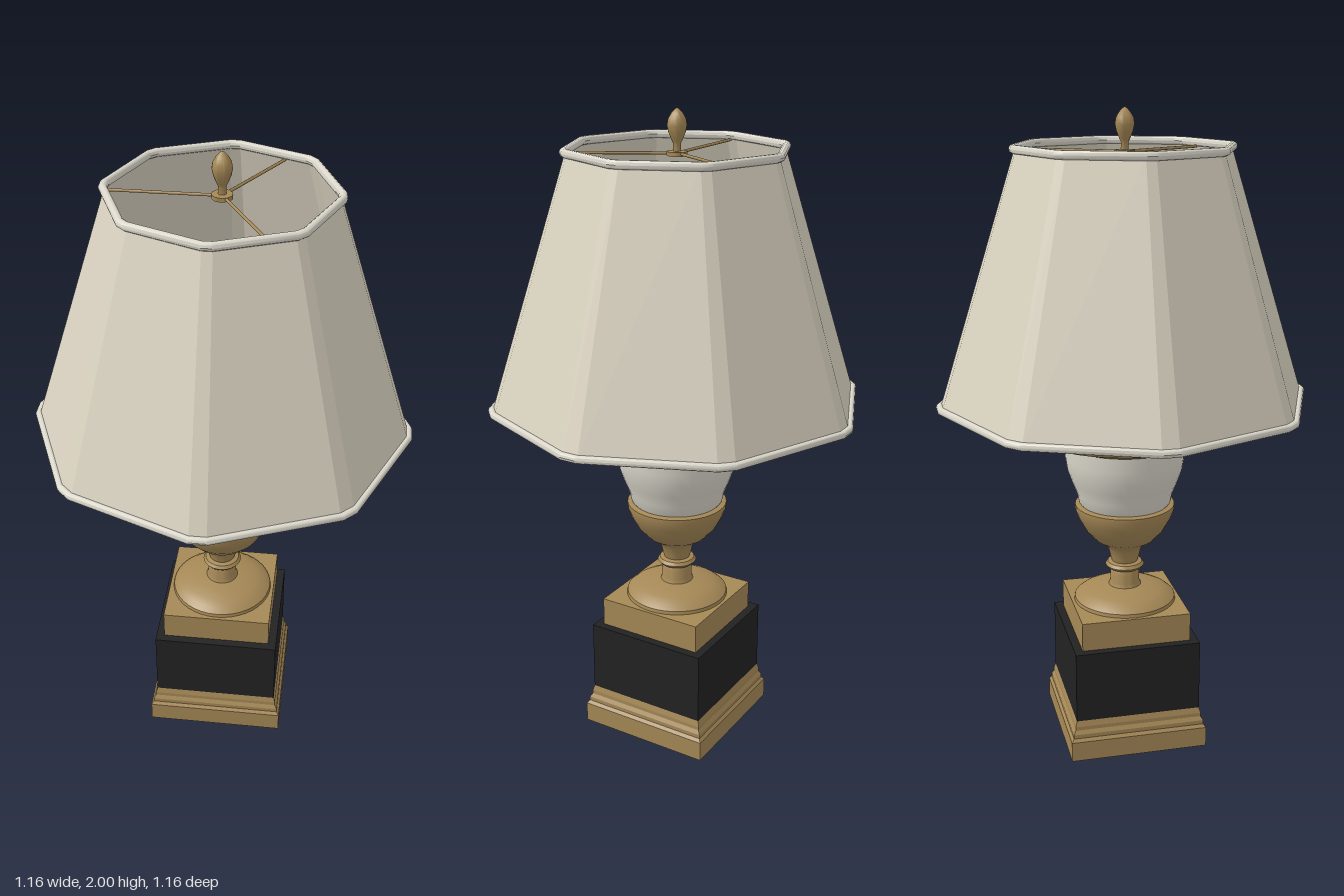
import * as THREE from 'three';
import { toCreasedNormals } from 'three/addons/utils/BufferGeometryUtils.js';

const mat = (name, color, side = THREE.FrontSide) => {
  const m = new THREE.MeshStandardMaterial({ color, side });
  m.name = name;
  return m;
};

export function createModel() {
  const gold = mat('antique gold', 0xa58856);
  const ivory = mat('ivory porcelain', 0xdcd8cc);
  const cream = mat('cream fabric', 0xdbd4c2, THREE.DoubleSide);
  const black = mat('black stone', 0x222222);

  const lamp = new THREE.Group();
  lamp.name = 'tableLamp';

  const add = (name, geometry, material, parent = lamp) => {
    const mesh = new THREE.Mesh(geometry, material);
    mesh.name = name;
    parent.add(mesh);
    return mesh;
  };

  // Turned part from [radius, height] pairs, bottom to top
  const turned = (name, pairs, material, segments = 40) => {
    const pts = pairs.map(([r, y]) => new THREE.Vector2(r, y));
    return add(name, toCreasedNormals(new THREE.LatheGeometry(pts, segments), 0.65), material);
  };

  // Square moulded part from [half width, height] pairs
  const square = (name, pairs, material) => {
    const pts = pairs.map(([w, y]) => new THREE.Vector2(w * Math.SQRT2, y));
    const geo = new THREE.LatheGeometry(pts, 4, Math.PI / 4);
    return add(name, toCreasedNormals(geo, 0.1), material);
  };

  // Gathers 16 evenly spaced columns into 8 corners with a narrow bevel each
  const toOctagon = (geo, bevel) => {
    const pos = geo.attributes.position;
    for (let i = 0; i < pos.count; i++) {
      const x = pos.getX(i), z = pos.getZ(i), r = Math.hypot(x, z);
      const k = Math.round(Math.atan2(z, x) / (Math.PI / 8));
      const corner = Math.floor(k / 2);
      const side = k - corner * 2 ? 1 : -1;
      const a = corner * Math.PI / 4 + side * bevel;
      pos.setXYZ(i, r * Math.cos(a), pos.getY(i), r * Math.sin(a));
    }
    return geo;
  };

  // Straight rod between two points
  const rod = (name, from, to, radius, parent) => {
    const path = new THREE.LineCurve3(from, to);
    add(name, new THREE.TubeGeometry(path, 1, radius, 8), gold, parent);
  };

  // Square pedestal
  square('plinth', [[0, 0], [0.22, 0], [0.22, 0.065], [0.212, 0.075], [0.212, 0.088],
    [0.205, 0.1], [0.205, 0.112], [0.2, 0.13], [0, 0.13]], gold);
  square('stoneBlock', [[0, 0.13], [0.2, 0.13], [0.2, 0.36], [0, 0.36]], black);
  square('upperBlock', [[0, 0.36], [0.174, 0.36], [0.174, 0.452], [0, 0.452]], gold);

  // Foot, stem and bowl of the urn
  turned('foot', [[0, 0.45], [0.164, 0.452], [0.162, 0.463], [0.145, 0.477], [0.12, 0.488],
    [0.085, 0.497], [0.052, 0.502], [0.047, 0.515], [0.047, 0.545], [0.04, 0.562]], gold);
  turned('collar', [[0.035, 0.558], [0.055, 0.562], [0.062, 0.571], [0.055, 0.581], [0.035, 0.586]], gold);
  turned('bowl', [[0.04, 0.58], [0.046, 0.6], [0.052, 0.625], [0.064, 0.642], [0.095, 0.662],
    [0.125, 0.695], [0.147, 0.735], [0.158, 0.765], [0.158, 0.78], [0.14, 0.784]], gold);
  turned('urnBody', [[0.14, 0.782], [0.146, 0.79], [0.152, 0.82], [0.168, 0.86], [0.182, 0.9],
    [0.188, 0.94], [0.189, 0.995]], ivory);

  // Wide lip with a cream upper face
  turned('lip', [[0.18, 0.985], [0.198, 0.99], [0.215, 1.012], [0.25, 1.024], [0.3, 1.03],
    [0.32, 1.034], [0.328, 1.044], [0.328, 1.06], [0.318, 1.06]], gold, 48);
  const lipTop = add('lipTop', new THREE.CircleGeometry(0.322, 48), cream);
  lipTop.rotation.x = -Math.PI / 2;
  lipTop.position.y = 1.058;

  // Socket and bulb
  turned('socket', [[0.035, 1.055], [0.036, 1.07], [0.048, 1.12], [0.048, 1.23], [0.058, 1.24],
    [0.058, 1.265], [0.045, 1.275], [0, 1.275]], gold, 24);
  turned('bulb', [[0.042, 1.27], [0.045, 1.305], [0.06, 1.34], [0.077, 1.37], [0.085, 1.41],
    [0.08, 1.445], [0.062, 1.475], [0.034, 1.493], [0, 1.5]], ivory, 32);

  // Bevelled eight-sided shade and its rolled trims
  const panels = toOctagon(new THREE.CylinderGeometry(0.323, 0.566, 0.76, 16, 1, true), 0.045);
  add('shade', toCreasedNormals(panels, 0.1), cream).position.y = 1.505;
  for (const [name, radius, thick, y] of [['topTrim', 0.327, 0.013, 1.885], ['bottomTrim', 0.568, 0.012, 1.125]]) {
    const ring = new THREE.TorusGeometry(radius, thick, 10, 16).rotateX(Math.PI / 2);
    add(name, toCreasedNormals(toOctagon(ring, 0.045), 0.7), ivory).position.y = y;
  }

  // Lower four-arm and upper three-arm shade supports
  for (const [name, count, start, length, radius, y] of [
    ['lowerSupport', 4, 0, 0.56, 0.007, 1.135],
    ['upperSupport', 3, Math.PI / 3, 0.315, 0.0045, 1.873],
  ]) {
    const support = new THREE.Group();
    support.name = name;
    lamp.add(support);
    for (let i = 0; i < count; i++) {
      const a = start + (i * Math.PI * 2) / count;
      const reach = name === 'upperSupport' && i !== 1 ? length * 0.95 : length;
      rod('arm', new THREE.Vector3(0, y, 0),
        new THREE.Vector3(Math.cos(a) * reach, y, Math.sin(a) * reach), radius, support);
    }
  }

  // Hub and finial
  turned('hub', [[0, 1.866], [0.03, 1.866], [0.03, 1.878], [0, 1.88]], gold, 20);
  turned('finial', [[0.012, 1.875], [0.011, 1.9], [0.016, 1.91], [0.025, 1.932], [0.029, 1.952],
    [0.026, 1.97], [0.017, 1.985], [0.007, 1.996], [0, 2]], gold, 20);

  return lamp;
}
